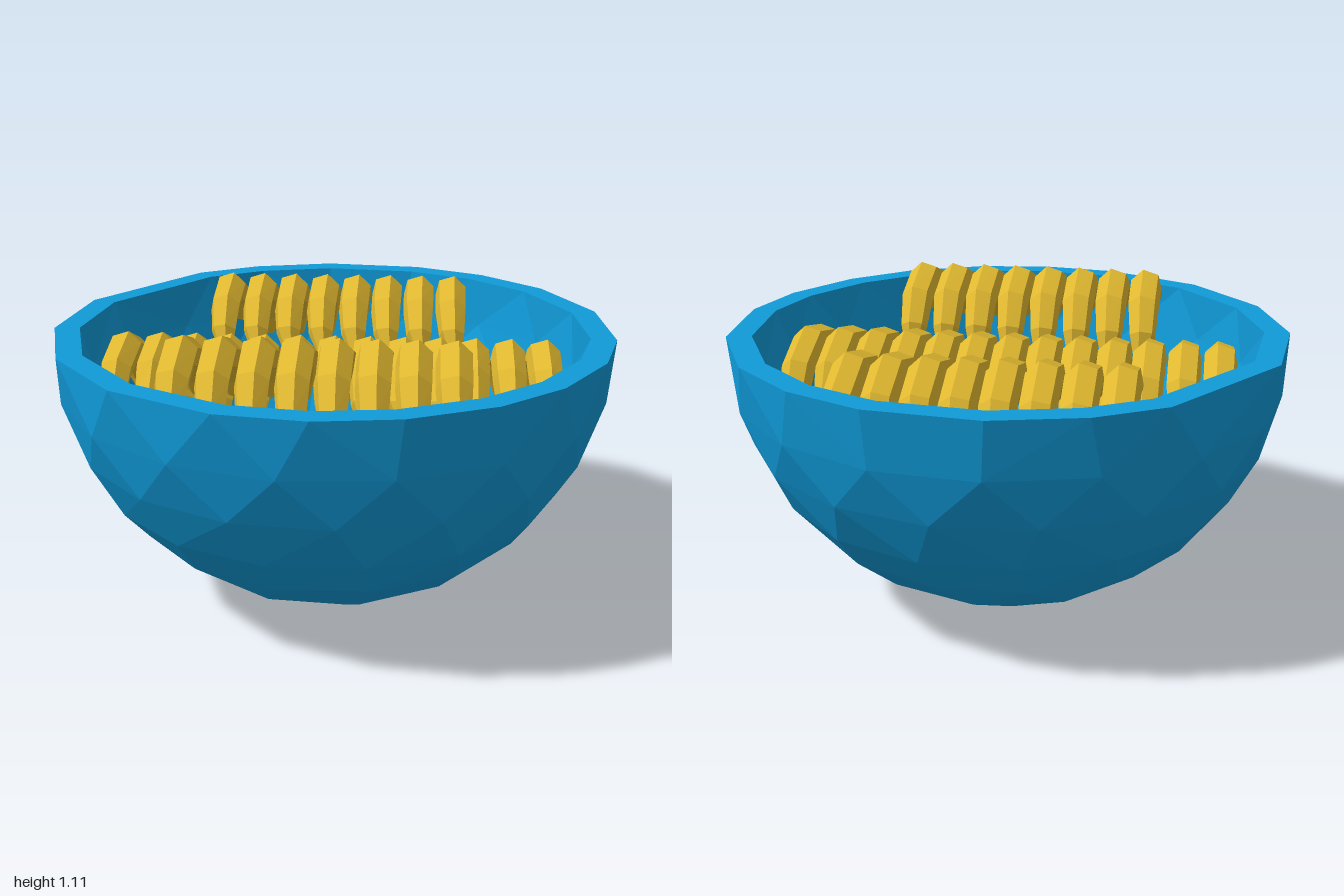
import * as THREE from 'three';
import { ConvexGeometry } from 'three/addons/geometries/ConvexGeometry.js';

const BLUE = new THREE.MeshStandardMaterial({ color: 0x109ad8, flatShading: true });
const YELLOW = new THREE.MeshStandardMaterial({ color: 0xe0b830, flatShading: true });
const RIM = [90, 74, 56, 40, 22, 6, -16, -38, -56, -73, -95, -113, -128, -162, 175, 153, 130, 107]
  .map(THREE.MathUtils.degToRad);

function fromTriangles(pos) {
  const g = new THREE.BufferGeometry();
  g.setAttribute('position', new THREE.Float32BufferAttribute(pos, 3));
  g.computeVertexNormals();
  return g;
}

// Faceted half sphere, open at the top; inward = seen from inside
function halfSphere(radius, inward) {
  const pts = RIM.map(a => new THREE.Vector3(Math.cos(a), 0, Math.sin(a)));
  const rings = [[-0.2, 17], [-0.38, 17], [-0.56, 16], [-0.7, 14], [-0.83, 11], [-0.93, 8], [-0.98, 5]];
  rings.forEach(([y, n], k) => {
    const r = Math.sqrt(1 - y * y);
    for (let i = 0; i < n; i++) {
      const a = (i + k * 0.5) / n * Math.PI * 2 + 0.2;
      pts.push(new THREE.Vector3(r * Math.cos(a), y, r * Math.sin(a)));
    }
  });
  pts.push(new THREE.Vector3(0, -1, 0));
  const hull = new ConvexGeometry(pts).getAttribute('position');
  const out = [];
  for (let i = 0; i < hull.count; i += 3) {
    const tri = [0, 1, 2].map(k => new THREE.Vector3().fromBufferAttribute(hull, i + k));
    if (tri.every(v => v.y > -0.01)) continue; // leave the mouth open
    if (inward) tri.reverse();
    tri.forEach(v => out.push(v.x * radius, 1 + v.y * radius, v.z * radius));
  }
  return fromTriangles(out);
}

// Flat ring joining the inner and outer walls
function rimGeometry(inner) {
  const out = [];
  RIM.forEach((a, i) => {
    const b = RIM[(i + 1) % RIM.length];
    const p = (t, r) => [r * Math.cos(t), 1, r * Math.sin(t)];
    out.push(...p(a, 1), ...p(b, 1), ...p(b, inner), ...p(a, 1), ...p(b, inner), ...p(a, inner));
  });
  return fromTriangles(out);
}

// Arched, tapering fruit: stations of x, y, z, radius; top of the arch at y = 0
function fruitGeometry() {
  const stations = [
    [0, -0.29, -0.27, 0.022], [-0.005, -0.2, -0.235, 0.05], [0, -0.11, -0.145, 0.06],
    [0, -0.06, 0, 0.062], [0, -0.11, 0.15, 0.06], [0.005, -0.19, 0.235, 0.05], [0.02, -0.27, 0.285, 0.022],
  ];
  const sides = 6;
  const rings = stations.map(([x, y, z, r], i) => {
    const a = stations[Math.max(i - 1, 0)], b = stations[Math.min(i + 1, stations.length - 1)];
    const len = Math.hypot(b[1] - a[1], b[2] - a[2]);
    const ny = (b[2] - a[2]) / len, nz = -(b[1] - a[1]) / len;
    return Array.from({ length: sides }, (_, j) => {
      const t = (j / sides) * Math.PI * 2 + 0.3;
      return [x + r * Math.cos(t), y + r * Math.sin(t) * ny, z + r * Math.sin(t) * nz];
    });
  });
  const out = [];
  const last = rings.length - 1;
  for (let j = 0; j < sides; j++) {
    const k = (j + 1) % sides;
    for (let i = 0; i < last; i++) {
      const [p, q] = [rings[i], rings[i + 1]];
      out.push(...p[j], ...p[k], ...q[k], ...p[j], ...q[k], ...q[j]);
    }
    out.push(...stations[0].slice(0, 3), ...rings[0][k], ...rings[0][j]);
    out.push(...stations[last].slice(0, 3), ...rings[last][j], ...rings[last][k]);
  }
  return fromTriangles(out);
}

export function createModel() {
  const model = new THREE.Group();
  const add = (parent, name, geometry, material) => {
    const mesh = new THREE.Mesh(geometry, material);
    mesh.name = name;
    parent.add(mesh);
    return mesh;
  };

  // Bowl
  const bowl = new THREE.Group();
  bowl.name = 'bowl';
  add(bowl, 'bowlOutside', halfSphere(1, false), BLUE);
  add(bowl, 'bowlInside', halfSphere(0.91, true), BLUE);
  add(bowl, 'bowlRim', rimGeometry(0.91), BLUE);
  model.add(bowl);

  // Three rows of fruit lying side by side
  const fruit = fruitGeometry();
  const rows = [
    { name: 'backRow', count: 8, x: -0.455, y: 1.055, z: -0.57, tilt: -0.08 },
    { name: 'middleRow', count: 13, x: -0.76, y: 0.97, z: 0.01, tilt: -0.08, scale: 1.06 },
    { name: 'frontRow', count: 8, x: -0.46, y: 1.11, z: 0.52, tilt: 0 },
  ];
  for (const { name, count, x, y, z, tilt, scale = 1 } of rows) {
    const row = new THREE.Group();
    row.name = name;
    for (let i = 0; i < count; i++) {
      const piece = add(row, 'fruit', fruit, YELLOW);
      piece.position.set(x + i * 0.126, y, z);
      piece.rotation.x = tilt;
      piece.scale.z = scale;
    }
    model.add(row);
  }
  return model;
}
